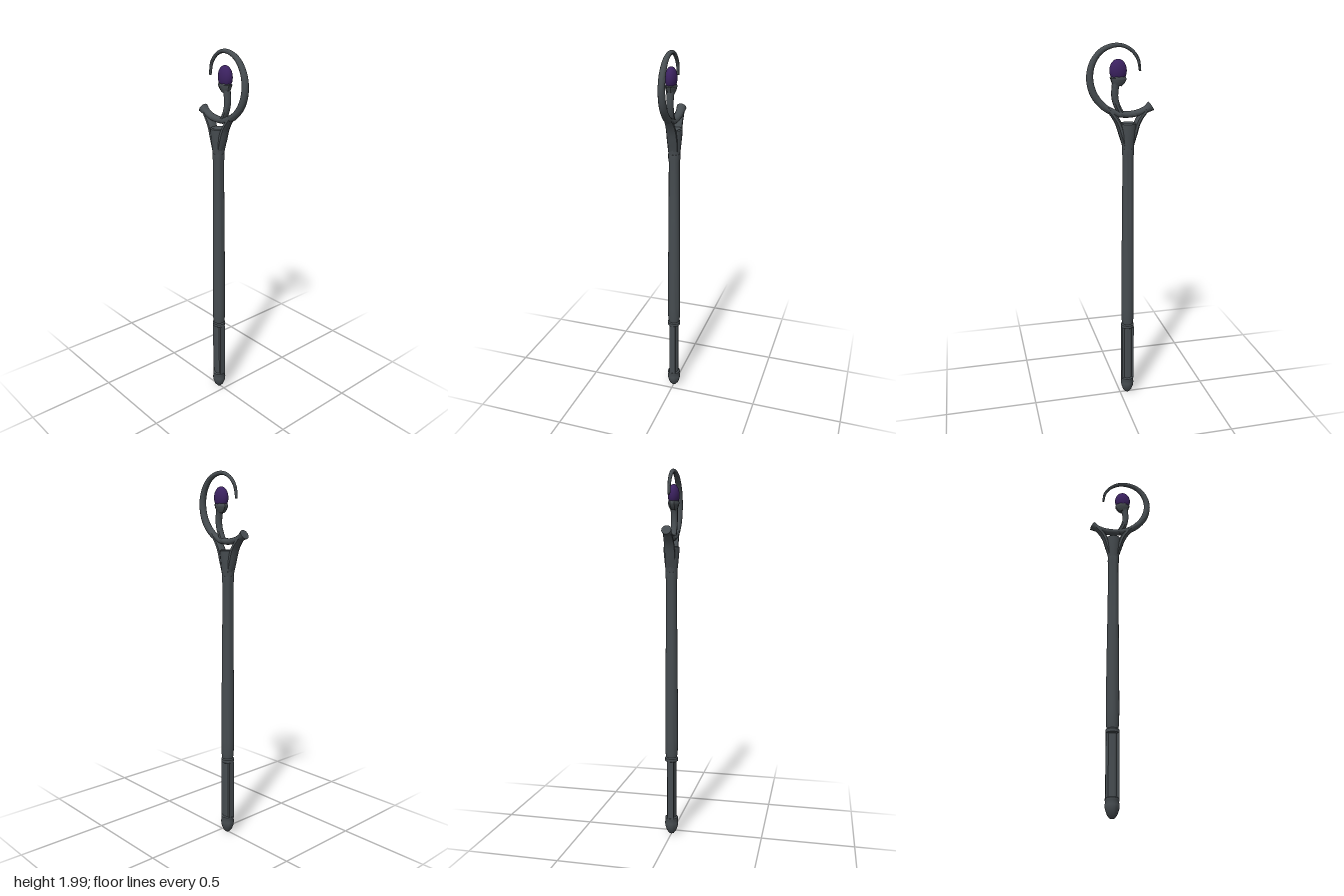
import * as THREE from 'three';
import { toCreasedNormals } from 'three/addons/utils/BufferGeometryUtils.js';

const AXIS = -0.043; // x of the shaft

export function createModel() {
  const metal = new THREE.MeshStandardMaterial({ color: 0x474d51 });
  metal.name = 'dark metal';
  const violet = new THREE.MeshStandardMaterial({ color: 0x3c2261 });
  violet.name = 'violet gem';
  const group = new THREE.Group();
  group.name = 'staff';

  const add = (name, geometry, material = metal) => {
    const mesh = new THREE.Mesh(geometry, material);
    mesh.name = name;
    group.add(mesh);
    return mesh;
  };

  const lathe = (name, profile, sides = 20) => {
    const geo = new THREE.LatheGeometry(profile.map(([r, y]) => new THREE.Vector2(r, y)), sides);
    const mesh = add(name, toCreasedNormals(geo, 0.7));
    mesh.position.x = AXIS;
    return mesh;
  };

  // Tapered limb in the xy plane; stations are [x, y, half width, half depth]
  const limb = (name, stations, steps, sides) => {
    const path = new THREE.CatmullRomCurve3(stations.map(([x, y]) => new THREE.Vector3(x, y, 0)), false, 'centripetal');
    const verts = [], index = [];
    for (let j = 0; j <= steps; j++) {
      const u = j / steps;
      const p = path.getPoint(u), t = path.getTangent(u);
      const f = u * (stations.length - 1);
      const k = Math.min(Math.floor(f), stations.length - 2);
      const mix = (c) => THREE.MathUtils.lerp(stations[k][c], stations[k + 1][c], f - k);
      const w = mix(2), d = mix(3);
      for (let i = 0; i < sides; i++) {
        const a = ((i + 0.5) / sides) * Math.PI * 2;
        verts.push(p.x - t.y * w * Math.cos(a), p.y + t.x * w * Math.cos(a), d * Math.sin(a));
      }
    }
    for (let j = 0; j < steps; j++) {
      for (let i = 0; i < sides; i++) {
        const n = (i + 1) % sides;
        const a = j * sides + i, b = j * sides + n;
        index.push(a, b, b + sides, a, b + sides, a + sides);
      }
    }
    // End caps
    const last = steps * sides;
    for (let i = 1; i < sides - 1; i++) {
      index.push(0, i + 1, i, last, last + i, last + i + 1);
    }
    const geo = new THREE.BufferGeometry();
    geo.setAttribute('position', new THREE.Float32BufferAttribute(verts, 3));
    geo.setIndex(index);
    return add(name, toCreasedNormals(geo, 0.8));
  };

  // Pommel, grip and shaft
  lathe('pommel', [[0, 0.004], [0.014, 0.008], [0.026, 0.024], [0.035, 0.05], [0.037, 0.07],
    [0.034, 0.085], [0.036, 0.09], [0.036, 0.102], [0.029, 0.107], [0, 0.107]]);
  lathe('grip', [[0.027, 0.1], [0.027, 0.44]]);
  lathe('gripCollar', [[0.027, 0.425], [0.036, 0.431], [0.036, 0.447], [0.029, 0.455]]);
  lathe('shaft', [[0.03, 0.45], [0.034, 0.48], [0.035, 0.55], [0.034, 0.8], [0.031, 1.1],
    [0.029, 1.42], [0.032, 1.44], [0.032, 1.465], [0, 1.465]]);

  // Raised rails on both sides of the grip
  for (const side of [-1, 1]) {
    const rail = add(side < 0 ? 'rightGripRail' : 'leftGripRail', new THREE.BoxGeometry(0.014, 0.33, 0.034));
    rail.position.set(AXIS + side * 0.027, 0.265, 0);
  }

  // Flared cup at the top of the shaft
  lathe('cup', [[0.029, 1.45], [0.035, 1.5], [0.041, 1.56], [0.043, 1.595], [0.036, 1.6], [0, 1.585]], 16);

  // Two prongs spreading from the cup to the crook
  limb('rightProng', [[-0.053, 1.45, 0.012, 0.024], [-0.075, 1.54, 0.017, 0.028],
    [-0.098, 1.61, 0.017, 0.028], [-0.14, 1.665, 0.014, 0.024]], 12, 8);
  limb('leftProng', [[-0.033, 1.45, 0.012, 0.024], [-0.01, 1.54, 0.017, 0.028],
    [0.015, 1.61, 0.017, 0.026], [0.068, 1.68, 0.012, 0.02]], 12, 8);

  // Spiral crook tapering from the flared end to the tip
  limb('crook', [[-0.165, 1.682, 0.027, 0.026], [-0.142, 1.667, 0.019, 0.023], [-0.1, 1.65, 0.017, 0.022],
    [-0.04, 1.642, 0.017, 0.021], [0.02, 1.65, 0.017, 0.02], [0.082, 1.682, 0.018, 0.02],
    [0.135, 1.745, 0.019, 0.019], [0.156, 1.825, 0.018, 0.018], [0.142, 1.9, 0.016, 0.017],
    [0.1, 1.957, 0.014, 0.015], [0.045, 1.984, 0.012, 0.013], [-0.01, 1.986, 0.01, 0.012],
    [-0.06, 1.962, 0.009, 0.01], [-0.094, 1.918, 0.008, 0.009], [-0.105, 1.86, 0.006, 0.007]], 70, 12);

  // Curved stem and socket under the gem
  limb('gemStem', [[-0.015, 1.635, 0.016, 0.017], [0.012, 1.68, 0.017, 0.018],
    [0.027, 1.73, 0.018, 0.018], [0.025, 1.78, 0.019, 0.019], [0.018, 1.81, 0.022, 0.022]], 16, 8);
  limb('gemSocket', [[0.017, 1.792, 0.026, 0.02], [0.013, 1.808, 0.037, 0.026],
    [0.01, 1.825, 0.045, 0.03], [0.01, 1.836, 0.038, 0.026]], 9, 8);

  // Gem
  const gem = add('gem', new THREE.SphereGeometry(1, 24, 16), violet);
  gem.scale.set(0.045, 0.057, 0.03);
  gem.position.set(0.01, 1.864, 0);

  return group;
}
